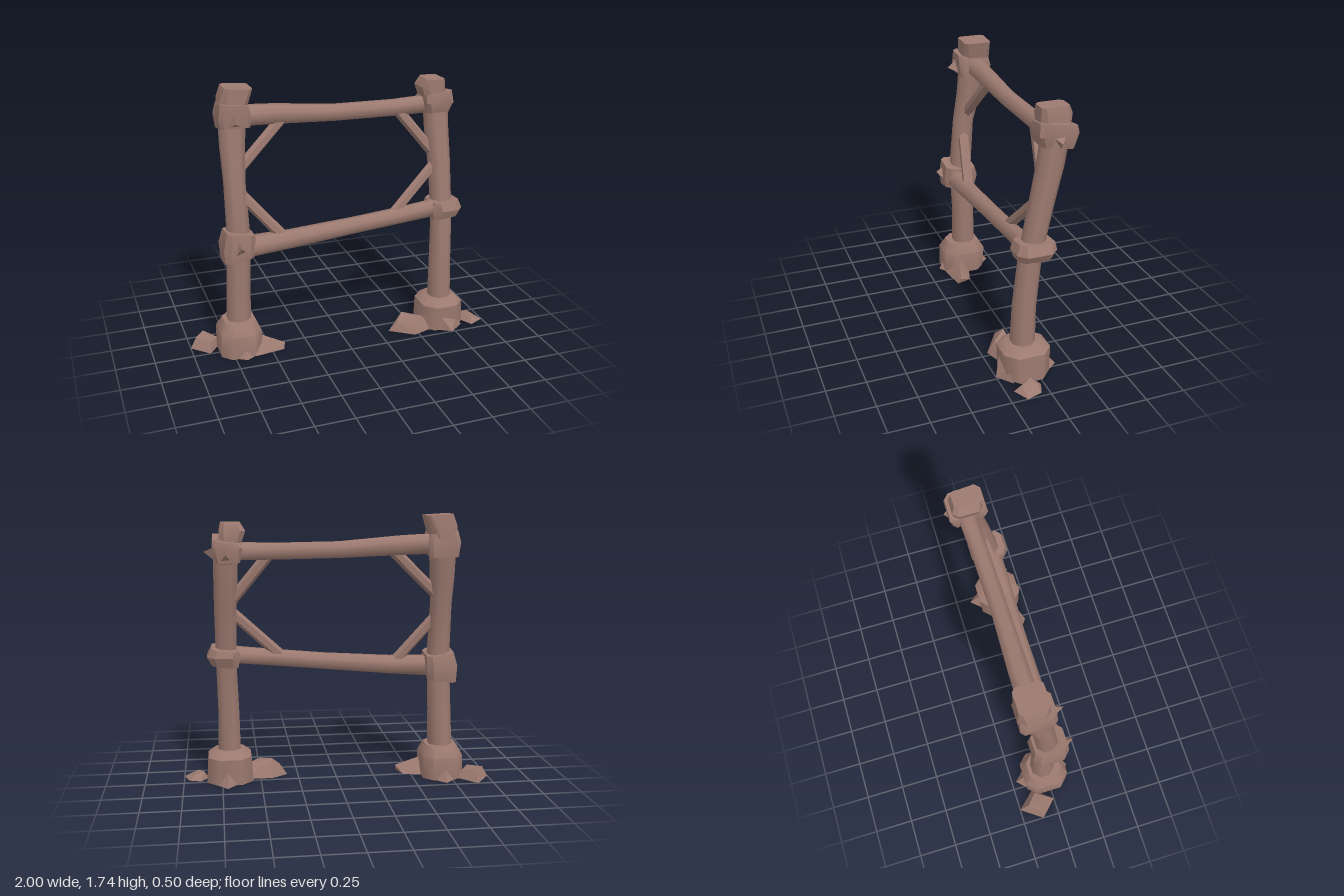
import * as THREE from 'three';
import { toCreasedNormals } from 'three/addons/utils/BufferGeometryUtils.js';
import { ConvexGeometry } from 'three/addons/geometries/ConvexGeometry.js';

const V = (x, y, z) => new THREE.Vector3(x, y, z);

export function createModel() {
  const root = new THREE.Group();
  root.name = 'fenceFrame';
  const wood = new THREE.MeshStandardMaterial({ color: 0x9c7a70 });
  wood.name = 'brownWood';

  const add = (name, geo, crease) => {
    const mesh = new THREE.Mesh(toCreasedNormals(geo, crease), wood);
    mesh.name = name;
    root.add(mesh);
  };

  // Uneven log: rings of [x, y, z, radius] joined along its length, ends closed
  function log(name, rings, sides = 8) {
    const first = V(...rings[0]), last = V(...rings[rings.length - 1]);
    const dir = last.clone().sub(first).normalize();
    const u = V(0, 0, 1).addScaledVector(dir, -dir.z).normalize();
    const w = dir.clone().cross(u);
    const pos = [], idx = [];
    rings.forEach(([x, y, z, r]) => {
      for (let i = 0; i < sides; i++) {
        const a = ((i + 0.5) / sides) * Math.PI * 2;
        const p = V(x, y, z).addScaledVector(u, Math.cos(a) * r).addScaledVector(w, Math.sin(a) * r);
        pos.push(p.x, p.y, p.z);
      }
    });
    for (let k = 0; k < rings.length - 1; k++) {
      for (let i = 0; i < sides; i++) {
        const a = k * sides + i, b = k * sides + ((i + 1) % sides);
        idx.push(a, b, a + sides, b, b + sides, a + sides);
      }
    }
    const end = (rings.length - 1) * sides;
    for (let i = 1; i < sides - 1; i++) idx.push(0, i + 1, i, end, end + i, end + i + 1);
    const geo = new THREE.BufferGeometry();
    geo.setAttribute('position', new THREE.Float32BufferAttribute(pos, 3));
    geo.setIndex(idx);
    add(name, geo.toNonIndexed(), 0.95);
  }

  // Rough hewn block: chamfered rows of [x0, x1, z0, z1, y, chamfer, rise along x, rise along z]
  function block(name, rows, crease = 0.6) {
    const pts = [];
    for (const [x0, x1, z0, z1, y, c = 0.03, sx = 0, sz = 0] of rows) {
      const cx = (x0 + x1) / 2, cz = (z0 + z1) / 2;
      const corners = [[x0 + c, z0], [x1 - c, z0], [x1, z0 + c], [x1, z1 - c],
        [x1 - c, z1], [x0 + c, z1], [x0, z1 - c], [x0, z0 + c]];
      for (const [x, z] of corners) pts.push(V(x, y + sx * (x - cx) + sz * (z - cz), z));
    }
    add(name, new ConvexGeometry(pts), crease);
  }

  // Stones and splinters as convex hulls of a few points
  const chunk = (name, pts) => add(name, new ConvexGeometry(pts.map((p) => V(...p))), 0.5);

  // Posts lean backward above the middle
  log('rightPost', [[-0.69, 0.1, -0.03, 0.083], [-0.68, 0.45, -0.03, 0.077], [-0.67, 0.8, -0.01, 0.075],
    [-0.675, 1.15, -0.04, 0.07], [-0.67, 1.35, -0.08, 0.08], [-0.66, 1.6, -0.11, 0.09]]);
  log('leftPost', [[0.7, 0.1, 0.07, 0.08], [0.7, 0.45, 0.06, 0.073], [0.71, 0.8, 0.03, 0.07],
    [0.71, 1.15, -0.04, 0.075], [0.705, 1.35, -0.085, 0.08], [0.7, 1.6, -0.12, 0.085]]);

  // Cross beams
  log('upperBeam', [[-0.66, 1.55, -0.11, 0.068], [-0.4, 1.54, -0.11, 0.065], [0, 1.515, -0.105, 0.055],
    [0.4, 1.51, -0.11, 0.055], [0.7, 1.515, -0.12, 0.06]]);
  log('lowerBeam', [[-0.66, 0.735, 0.03, 0.072], [-0.35, 0.75, 0.03, 0.062], [0.08, 0.785, 0.03, 0.055],
    [0.4, 0.815, 0.035, 0.055], [0.71, 0.845, 0.035, 0.058]]);

  // Diagonal braces
  const braces = {
    upperRightBrace: [[-0.32, 1.53, -0.11], [-0.67, 1.19, -0.05]],
    lowerRightBrace: [[-0.37, 0.75, 0.03], [-0.66, 1.09, -0.03]],
    upperLeftBrace: [[0.42, 1.51, -0.11], [0.71, 1.15, -0.05]],
    lowerLeftBrace: [[0.35, 0.82, 0.03], [0.71, 1.16, -0.04]],
  };
  for (const [name, [a, b]] of Object.entries(braces)) log(name, [[...a, 0.036], [...b, 0.036]], 6);

  // Collars around the joints
  block('upperRightCollar', [[-0.75, -0.565, -0.2, 0.0, 1.48, 0.02, 0, 0.15],
    [-0.76, -0.56, -0.21, 0.01, 1.56, 0.02], [-0.745, -0.57, -0.2, 0.01, 1.63, 0.03, -0.1, 0.1]]);
  block('upperLeftCollar', [[0.615, 0.765, -0.21, -0.01, 1.46, 0.02, 0, 0.15],
    [0.6, 0.785, -0.23, 0.01, 1.54, 0.02], [0.605, 0.78, -0.225, 0, 1.59, 0.03, 0.15, 0.15]]);
  block('middleRightCollar', [[-0.78, -0.595, -0.1, 0.11, 0.66, 0.03, 0.15, 0.1],
    [-0.785, -0.58, -0.12, 0.12, 0.75, 0.04], [-0.76, -0.585, -0.1, 0.11, 0.835, 0.03, -0.15, 0.1]]);
  block('middleLeftCollar', [[0.635, 0.8, -0.08, 0.12, 0.78, 0.03, 0.1, 0.05],
    [0.62, 0.83, -0.11, 0.14, 0.84, 0.05], [0.635, 0.8, -0.1, 0.12, 0.89, 0.03, 0.1, 0.06]]);

  // Post tops
  block('rightPostTop', [[-0.74, -0.58, -0.21, -0.02, 1.58, 0.04],
    [-0.74, -0.57, -0.21, -0.02, 1.66, 0.04], [-0.71, -0.54, -0.2, -0.02, 1.73, 0.02, -0.06]]);
  block('leftPostTop', [[0.61, 0.74, -0.2, -0.02, 1.55, 0.03],
    [0.58, 0.74, -0.21, -0.02, 1.64, 0.03], [0.61, 0.73, -0.19, -0.02, 1.69, 0.02]]);

  // Splinters sticking out of the collars
  chunk('upperLeftSideSplinter', [[0.75, 1.44, -0.12], [0.75, 1.55, -0.16], [0.75, 1.54, -0.06], [0.835, 1.51, -0.1]]);
  chunk('upperLeftBackSplinter', [[0.66, 1.44, -0.19], [0.75, 1.44, -0.19], [0.7, 1.58, -0.2], [0.7, 1.5, -0.25]]);
  chunk('upperRightFrontSplinter', [[-0.71, 1.5, -0.02], [-0.62, 1.5, -0.02], [-0.67, 1.62, -0.02], [-0.67, 1.54, 0.065]]);
  chunk('middleRightFrontSplinter', [[-0.73, 0.68, 0.09], [-0.63, 0.71, 0.09], [-0.7, 0.82, 0.09], [-0.69, 0.78, 0.16]]);

  // Footing blocks
  block('rightFooting', [[-0.83, -0.565, -0.16, 0.13, 0, 0.06], [-0.825, -0.56, -0.17, 0.13, 0.15, 0.06],
    [-0.79, -0.59, -0.13, 0.09, 0.22, 0.05]], 0.8);
  block('leftFooting', [[0.55, 0.85, -0.08, 0.2, 0, 0.07], [0.56, 0.84, -0.09, 0.21, 0.17, 0.07],
    [0.61, 0.79, -0.04, 0.17, 0.21, 0.05]], 0.8);

  // Stones and wedges around the footings
  chunk('outerRightStone', [[-1, 0, -0.11], [-0.9, 0, -0.25], [-0.79, 0, -0.13], [-0.89, 0, 0],
    [-0.96, 0.07, -0.12], [-0.9, 0.075, -0.19], [-0.82, 0.05, -0.12], [-0.88, 0.06, -0.04]]);
  chunk('innerRightWedge', [[-0.62, 0, -0.05], [-0.62, 0, 0.13], [-0.42, 0, 0.1], [-0.45, 0, 0.0],
    [-0.6, 0.12, 0.03], [-0.41, 0.04, 0.08]]);
  chunk('frontRightWedge', [[-0.78, 0, 0.1], [-0.58, 0, 0.1], [-0.68, 0, 0.16], [-0.69, 0.1, 0.1]]);
  chunk('innerLeftStone', [[0.32, 0, 0.1], [0.47, 0, 0.21], [0.62, 0, 0.16], [0.6, 0, 0.03], [0.42, 0, 0.03],
    [0.42, 0.12, 0.08], [0.5, 0.1, 0.17], [0.6, 0.07, 0.12], [0.37, 0.07, 0.12]]);
  chunk('frontLeftWedge', [[0.6, 0, 0.17], [0.83, 0, 0.17], [0.73, 0, 0.25], [0.64, 0.13, 0.19], [0.78, 0.08, 0.19]]);
  chunk('backLeftWedge', [[0.64, 0, -0.06], [0.8, 0, -0.05], [0.72, 0, -0.15], [0.71, 0.1, -0.07]]);
  chunk('backRightWedge', [[-0.78, 0, -0.14], [-0.62, 0, -0.14], [-0.7, 0, -0.22], [-0.7, 0.09, -0.15]]);
  chunk('outerLeftStone', [[0.84, 0, 0.09], [0.89, 0, 0.02], [0.97, 0, 0.05], [1, 0, 0.15], [0.9, 0, 0.2],
    [0.87, 0.05, 0.08], [0.93, 0.035, 0.06], [0.91, 0.04, 0.15]]);
  return root;
}
